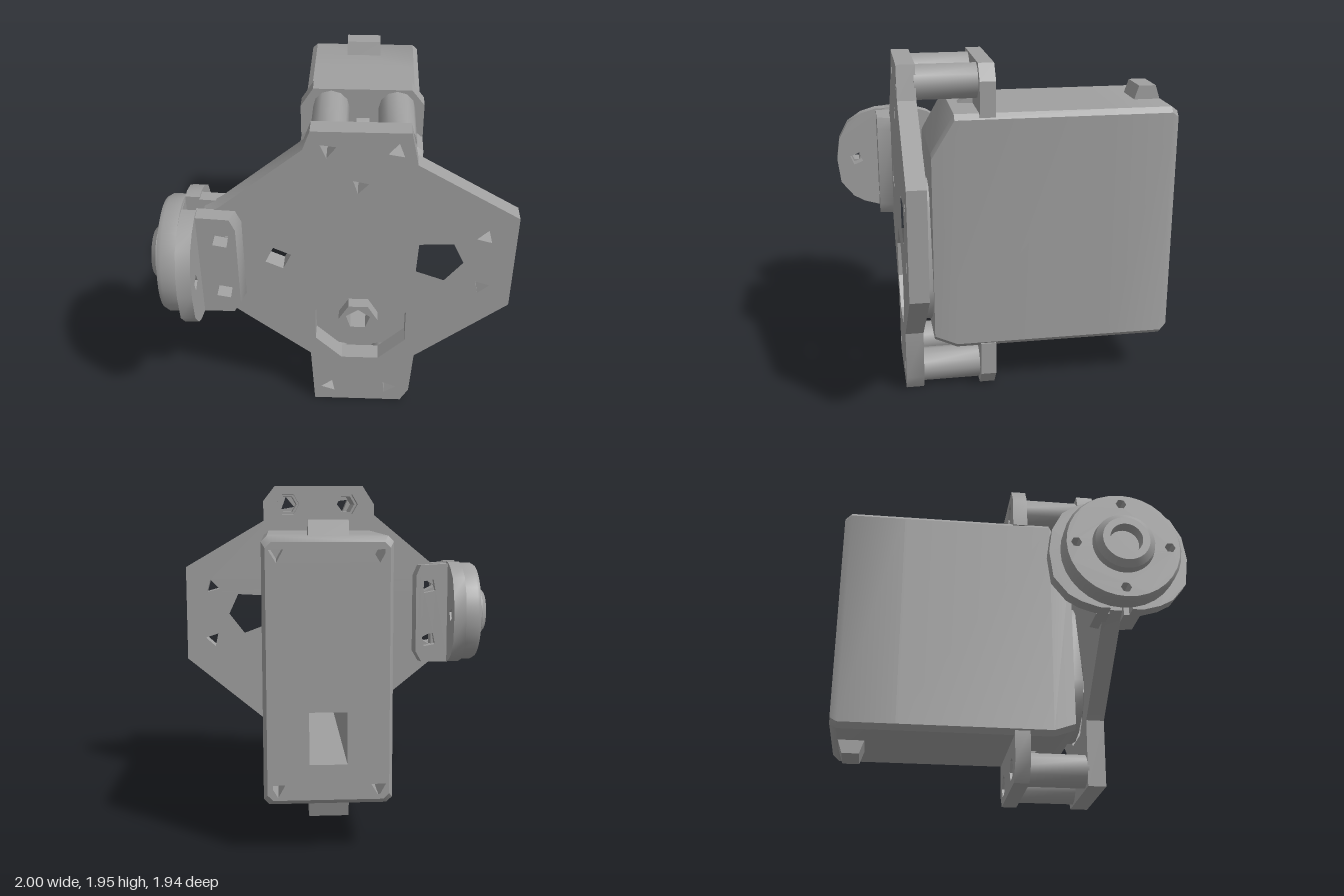
import * as THREE from 'three';
import { toCreasedNormals } from 'three/addons/utils/BufferGeometryUtils.js';

const grey = new THREE.MeshStandardMaterial({ color: 0xa0a0a0 });
grey.name = 'plain grey';

// Regular polygon as a list of [x, y] points
function ngon(cx, cy, r, n, turn = 0) {
  return Array.from({ length: n }, (_, i) => {
    const a = turn + (i / n) * Math.PI * 2;
    return [cx + r * Math.cos(a), cy + r * Math.sin(a)];
  });
}

const toVectors = (pts) => pts.map(([x, y]) => new THREE.Vector2(x, y));

function outline(pts, holes = []) {
  const shape = new THREE.Shape(toVectors(pts));
  holes.forEach((h) => shape.holes.push(new THREE.Path(toVectors(h))));
  return shape;
}

function addMesh(parent, name, geometry) {
  const mesh = new THREE.Mesh(toCreasedNormals(geometry, 0.65), grey);
  mesh.name = name;
  parent.add(mesh);
  return mesh;
}

// Slab facing z, between z0 and z1
function slab(pts, holes, z0, z1) {
  const g = new THREE.ExtrudeGeometry(outline(pts, holes), { depth: z1 - z0, bevelEnabled: false });
  return g.translate(0, 0, z0);
}

// Slab facing x; points are [z, y], between x0 and x1
function sideSlab(pts, holes, x0, x1) {
  const g = new THREE.ExtrudeGeometry(outline(pts, holes), { depth: x1 - x0, bevelEnabled: false });
  return g.rotateY(-Math.PI / 2).translate(x1, 0, 0);
}

// Body section: levels are [z, side inset, top inset, bottom inset], holes stay straight
function bodySection(holes, levels) {
  const pts = [
    [-0.17, 0.28], [0.45, 0.28], [0.48, 0.31], [0.48, 1.66],
    [0.45, 1.69], [-0.17, 1.69], [-0.2, 1.66], [-0.2, 0.31],
  ];
  const steps = levels.length - 1;
  const g = new THREE.ExtrudeGeometry(outline(pts, holes), { depth: steps, steps, bevelEnabled: false });
  const p = g.attributes.position;
  for (let i = 0; i < p.count; i++) {
    const [z, side, top, bottom] = levels[Math.round(p.getZ(i))];
    const x = p.getX(i), y = p.getY(i);
    const outer = pts.some(([a, b]) => Math.abs(a - x) + Math.abs(b - y) < 1e-4);
    if (outer) {
      p.setX(i, x + (x < 0.14 ? side : -side));
      p.setY(i, y + (y < 1 ? bottom : -top));
    }
    p.setZ(i, z);
  }
  return g;
}

function buildMotor() {
  const motor = new THREE.Group();
  motor.name = 'motor';
  const opening = [[0.04, 0.5], [0.24, 0.5], [0.24, 0.78], [0.04, 0.78]];

  // Case and rear cover with corner screw pits
  addMesh(motor, 'case', bodySection([opening],
    [[-0.6, 0, 0, 0], [0.31, 0, 0, 0], [0.44, 0.02, 0.22, 0.05]]));
  const pits = [];
  for (const x of [-0.125, 0.405]) for (const y of [0.37, 1.6]) pits.push(ngon(x, y, 0.045, 3, 0.5));
  addMesh(motor, 'rearCover', bodySection([opening, ...pits],
    [[-0.97, 0.02, 0.03, 0.03], [-0.93, 0, 0, 0], [-0.6, 0, 0, 0]]));

  // Gear housing on the front, a large circle tapering to a small one
  const bore = ngon(0.14, 0.64, 0.075, 5, 0.3);
  const housing = [
    ...ngon(0.14, 0.65, 0.29, 16, Math.PI).slice(0, 9),
    ...ngon(0.14, 1.08, 0.16, 12).slice(0, 7),
  ];
  addMesh(motor, 'gearHousing', slab(housing, [bore], 0.43, 0.5));
  addMesh(motor, 'outputHub', slab(ngon(0.14, 0.64, 0.115, 6), [bore], 0.5, 0.57));

  // Top and bottom: mounting ear, gusset and rear cable nub
  for (const [label, flip] of [['top', false], ['bottom', true]]) {
    const fy = (y) => (flip ? 1.97 - y : y);
    const map = (pts) => pts.map(([a, y]) => [a, fy(y)]);
    addMesh(motor, label + 'Ear', slab(
      map([[-0.2, 1.67], [0.48, 1.67], [0.48, 1.87], [0.41, 1.96], [-0.13, 1.96], [-0.2, 1.85]]),
      [-0.03, 0.33].map((x) => ngon(x, fy(1.85), 0.07, 6)), 0.08, 0.17));
    addMesh(motor, label + 'Gusset', sideSlab(
      map([[0.16, 1.68], [0.27, 1.68], [0.2, 1.73], [0.16, 1.8]]), [], 0.11, 0.18));
    addMesh(motor, label + 'Nub', sideSlab(
      map([[-0.94, 1.65], [-0.76, 1.65], [-0.8, 1.77], [-0.9, 1.77]]), [], 0.03, 0.24));
  }
  return motor;
}

function buildBracket() {
  const bracket = new THREE.Group();
  bracket.name = 'bracket';

  // Front plate
  const plate = [
    [-0.71, 1.42], [-0.62, 1.47], [-0.16, 1.85], [-0.12, 1.96], [0.4, 1.96], [0.44, 1.77],
    [1, 1.44], [1, 0.83], [0.48, 0.4], [0.46, 0.1], [0.41, 0.01], [-0.12, 0.01],
    [-0.14, 0.4], [-0.62, 0.79], [-0.71, 0.84],
  ];
  const screws = [[-0.03, 1.85], [0.33, 1.85], [0.14, 1.63], [0.83, 1.31], [0.83, 0.96],
    [-0.03, 0.12], [0.33, 0.12], [-0.61, 1.31], [-0.61, 0.95]];
  const holes = screws.map(([x, y], i) => ngon(x, y, 0.05, 3, 0.4 + i));
  holes.push(
    ngon(-0.31, 1.13, 0.077, 4, 0.35),
    [[0.47, 1.25], [0.66, 1.26], [0.72, 1.13], [0.62, 1.0], [0.46, 1.06]],
    ngon(0.155, 0.635, 0.285, 8, Math.PI / 8));
  addMesh(bracket, 'frontPlate', slab(plate, holes, 0.51, 0.615));

  // Hollow posts to the motor ears
  for (const x of [-0.03, 0.33]) for (const y of [1.85, 0.12]) {
    addMesh(bracket, 'post', slab(ngon(x, y, 0.1, 12), [ngon(x, y, 0.055, 6)], 0.16, 0.52));
  }
  return bracket;
}

function buildWheel() {
  const wheel = new THREE.Group();
  wheel.name = 'wheelMount';
  const cz = 0.58, cy = 1.13;

  // Two angle brackets clamping the plate, mirrored front to back
  const flange = [[0.64, 1.47], [0.7, 1.47], [0.8, 1.44], [0.89, 1.38], [0.95, 1.27], [0.97, 1.13],
    [0.95, 0.97], [0.87, 0.87], [0.8, 0.83], [0.7, 0.8], [0.64, 0.8]];
  const legShape = [[-0.74, 0.8], [-0.54, 0.8], [-0.5, 0.87], [-0.5, 1.38], [-0.53, 1.45], [-0.74, 1.46]];
  for (const front of [true, false]) {
    const fz = (z) => (front ? z : 2 * cz - z);
    addMesh(wheel, 'angleFlange', sideSlab(flange.map(([z, y]) => [fz(z), y]),
      [ngon(fz(0.84), cy, 0.045, 4, 0.4)], -0.815, -0.735));
    const [z0, z1] = front ? [0.61, 0.7] : [0.455, 0.53];
    const leg = slab(legShape, [1.31, 0.95].map((y) => ngon(-0.61, y, 0.055, 4, 0.6)), z0, z1);
    const p = leg.attributes.position;
    // Taper the outer edge of the leg
    for (let i = 0; i < p.count; i++) {
      const outer = front ? p.getZ(i) > 0.65 : p.getZ(i) < 0.5;
      if (outer && p.getX(i) > -0.545) p.setX(i, p.getX(i) - 0.025);
    }
    addMesh(wheel, 'angleLeg', leg);
  }

  // Disc with four bolt holes, rounded outer rim and hub
  const bolts = [0, 1, 2, 3].map((i) => ngon(cz + 0.26 * Math.cos(i * Math.PI / 2),
    cy + 0.26 * Math.sin(i * Math.PI / 2), 0.03, 6));
  addMesh(wheel, 'disc', sideSlab(ngon(cz, cy, 0.315, 32), bolts, -0.93, -0.82));
  const lathe = (name, pts) => {
    const g = new THREE.LatheGeometry(toVectors(pts), 32);
    addMesh(wheel, name, g.rotateZ(Math.PI / 2).translate(0, cy, cz));
  };
  lathe('rim', [[0.3, 0.82], [0.33, 0.825], [0.33, 0.905], [0.315, 0.93], [0.3, 0.93]]);
  lathe('hub', [[0.175, 0.92], [0.165, 0.97], [0.13, 1], [0.09, 1], [0.085, 0.935], [0, 0.935]]);
  return wheel;
}

export function createModel() {
  const model = new THREE.Group();
  model.name = 'motorBracketAssembly';
  model.add(buildMotor(), buildBracket(), buildWheel());
  return model;
}
